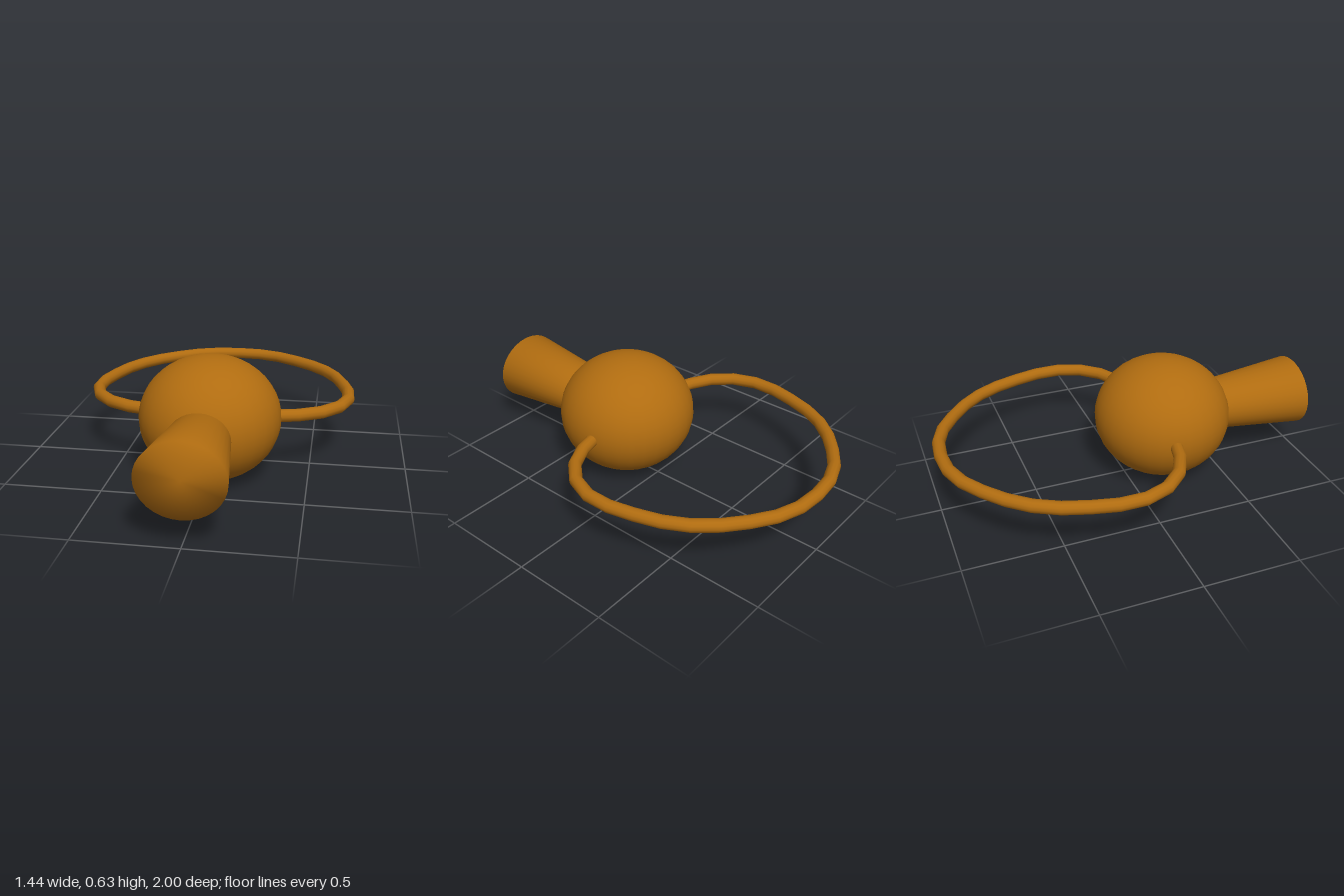
import * as THREE from 'three';
import { mergeVertices } from 'three/addons/utils/BufferGeometryUtils.js';

const MID_Y = 0.318;   // height of the shared centre plane
const SQUASH = 0.88;   // body and spout are slightly flattened in y

// Share vertices so the shading runs smoothly over every edge
function softened(geometry) {
  geometry.deleteAttribute('uv');
  geometry.deleteAttribute('normal');
  const merged = mergeVertices(geometry, 1e-4);
  merged.computeVertexNormals();
  return merged;
}

export function createModel() {
  const group = new THREE.Group();
  const material = new THREE.MeshStandardMaterial({ color: 0xb06c10 });

  function add(name, geometry) {
    const mesh = new THREE.Mesh(geometry, material);
    mesh.name = name;
    mesh.position.y = MID_Y;
    group.add(mesh);
    return mesh;
  }

  // Rounded body
  const body = add('body', new THREE.SphereGeometry(0.36, 32, 24));
  body.scale.y = SQUASH;
  body.position.z = 0.217;

  // Flared spout, narrow end sunk into the body, closed wide end at the front
  const spoutGeometry = new THREE.CylinderGeometry(0.206, 0.146, 0.52, 32);
  spoutGeometry.rotateX(Math.PI / 2);
  const spout = add('spout', softened(spoutGeometry));
  spout.scale.y = SQUASH;
  spout.position.z = 0.74;

  // Looped handle: half outline [x, z] from the back to the side of the body, mirrored
  const half = [
    [0.2, -0.937], [0.385, -0.825], [0.5, -0.72], [0.59, -0.595], [0.655, -0.42],
    [0.692, -0.235], [0.675, -0.1], [0.61, 0.015], [0.495, 0.105], [0.36, 0.15], [0.31, 0.16],
  ];
  const outline = [
    ...half.map(([x, z]) => [-x, z]).reverse(),
    [0, -0.967],
    ...half,
  ];
  const path = new THREE.CatmullRomCurve3(outline.map(([x, z]) => new THREE.Vector3(x, 0, z)));
  add('handle', new THREE.TubeGeometry(path, 26, 0.033, 12));

  return group;
}
